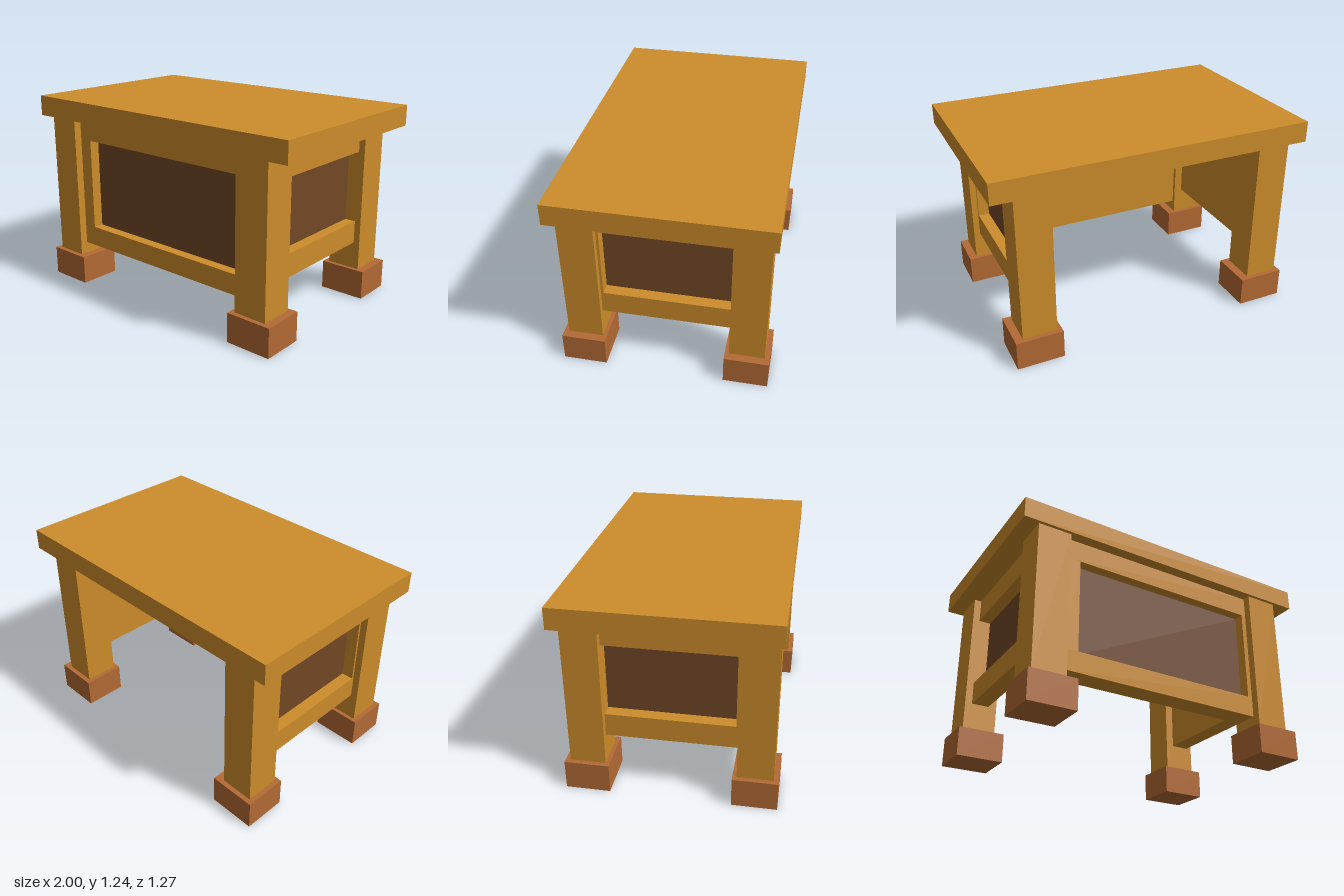
import * as THREE from 'three';

const wood = new THREE.MeshStandardMaterial({ color: 0xcd8c2b, flatShading: true });
const darkWood = new THREE.MeshStandardMaterial({ color: 0x734825, flatShading: true });
const footWood = new THREE.MeshStandardMaterial({ color: 0xb36a34, flatShading: true });

// Box given by its [min, max] range on each axis
function block(parent, name, [x0, x1], [y0, y1], [z0, z1], material = wood) {
  const mesh = new THREE.Mesh(new THREE.BoxGeometry(x1 - x0, y1 - y0, z1 - z0), material);
  mesh.position.set((x0 + x1) / 2, (y0 + y1) / 2, (z0 + z1) / 2);
  mesh.name = name;
  parent.add(mesh);
}

// Framed panel: place(u, y, depth) turns panel ranges into a block.
// u = outer width, hole = opening width; depths run inner -> floor -> face.
function framedPanel(name, place, u, y, hole, holeY, inner, floor, face) {
  const group = new THREE.Group();
  group.name = name;
  const range = (a, b) => [Math.min(a, b), Math.max(a, b)];
  const add = (part, uu, yy, a, b, material) =>
    block(group, part, ...place(uu, yy, range(a, b)), material);
  const back = floor - Math.sign(face - inner) * 0.01;
  add('backing', u, y, inner, back);
  add('inset', hole, holeY, back, floor, darkWood);
  add('bottomRail', u, [y[0], holeY[0]], back, face);
  add('topRail', u, [holeY[1], y[1]], back, face);
  if (hole[0] > u[0]) add('stile', [u[0], hole[0]], holeY, back, face);
  if (hole[1] < u[1]) add('stile', [hole[1], u[1]], holeY, back, face);
  return group;
}

export function createModel() {
  const desk = new THREE.Group();
  desk.name = 'desk';

  block(desk, 'top', [-1, 1], [1.11, 1.24], [-0.635, 0.63]);

  // Legs standing on square feet
  const legX = [[-0.9, -0.69], [0.65, 0.865]];
  const legZ = [[0.395, 0.61], [-0.6, -0.385]];
  const footX = [[-0.93, -0.635], [0.62, 0.915]];
  const footZ = [[0.37, 0.64], [-0.63, -0.36]];
  for (const i of [0, 1]) {
    for (const j of [0, 1]) {
      block(desk, 'leg', legX[i], [0.185, 1.11], legZ[j]);
      block(desk, 'foot', footX[i], [0, 0.185], footZ[j], footWood);
    }
  }

  // Front panel
  desk.add(framedPanel('frontPanel', (u, y, d) => [u, y, d],
    [-0.69, 0.65], [0.26, 1.11], [-0.6, 0.62], [0.39, 0.98], 0.42, 0.495, 0.56));

  // Side panels; the opening runs right up to the back leg
  const onSide = (u, y, d) => [d, y, u];
  for (const [name, inner, floor, face] of [
    ['leftPanel', 0.705, 0.755, 0.825],
    ['rightPanel', -0.745, -0.78, -0.855],
  ]) {
    desk.add(framedPanel(name, onSide,
      [-0.385, 0.395], [0.36, 1.11], [-0.385, 0.38], [0.505, 0.96], inner, floor, face));
  }
  return desk;
}
